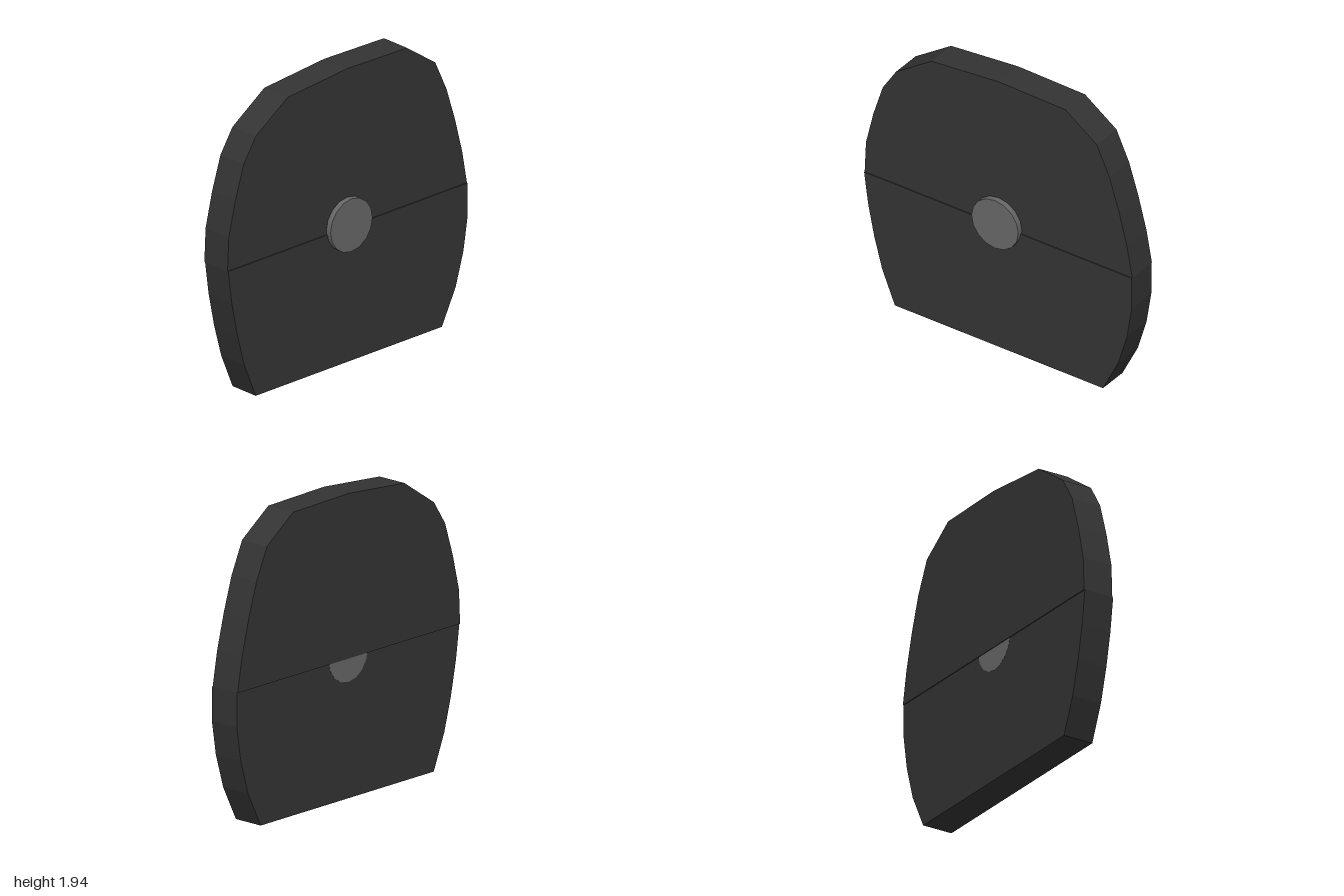
import * as THREE from 'three';

const dark = new THREE.MeshStandardMaterial({ color: 0x333333, flatShading: true });
const grey = new THREE.MeshStandardMaterial({ color: 0x666666 });

// Flat slab with a [z, y] outline, running from x0 to x1
function slab(name, outline, x0, x1) {
  const shape = new THREE.Shape(outline.map(([z, y]) => new THREE.Vector2(-z, y)));
  const geometry = new THREE.ExtrudeGeometry(shape, { depth: x1 - x0, bevelEnabled: false });
  geometry.rotateY(Math.PI / 2).translate(x0, 0, 0);
  const mesh = new THREE.Mesh(geometry, dark);
  mesh.name = name;
  return mesh;
}

export function createModel() {
  const group = new THREE.Group();
  group.name = 'roundedPanel';

  // Upper half, set slightly back from the lower half
  group.add(slab('upperPanel', [
    [1, 0.89], [0.99, 1.11], [0.935, 1.34], [0.865, 1.56], [0.765, 1.715],
    [0.5, 1.895], [0, 1.94], [-0.5, 1.93], [-0.735, 1.765], [-0.83, 1.56],
    [-0.9, 1.34], [-0.96, 1.11], [-1, 0.89],
  ], -0.123, 0.083));

  // Lower half with the flat foot
  group.add(slab('lowerPanel', [
    [1, 0.89], [0.97, 0.67], [0.925, 0.45], [0.865, 0.23], [0.77, 0],
    [-0.785, 0], [-0.9, 0.23], [-0.965, 0.45], [-1, 0.67], [-1, 0.89],
  ], -0.117, 0.089));

  // Hub passing through both halves and standing proud on one side
  const x0 = -0.118, x1 = 0.121;
  const hub = new THREE.Mesh(new THREE.CylinderGeometry(0.175, 0.175, x1 - x0, 16), grey);
  hub.name = 'hub';
  hub.rotation.z = -Math.PI / 2;
  hub.position.set((x0 + x1) / 2, 0.914, 0);
  group.add(hub);

  return group;
}
